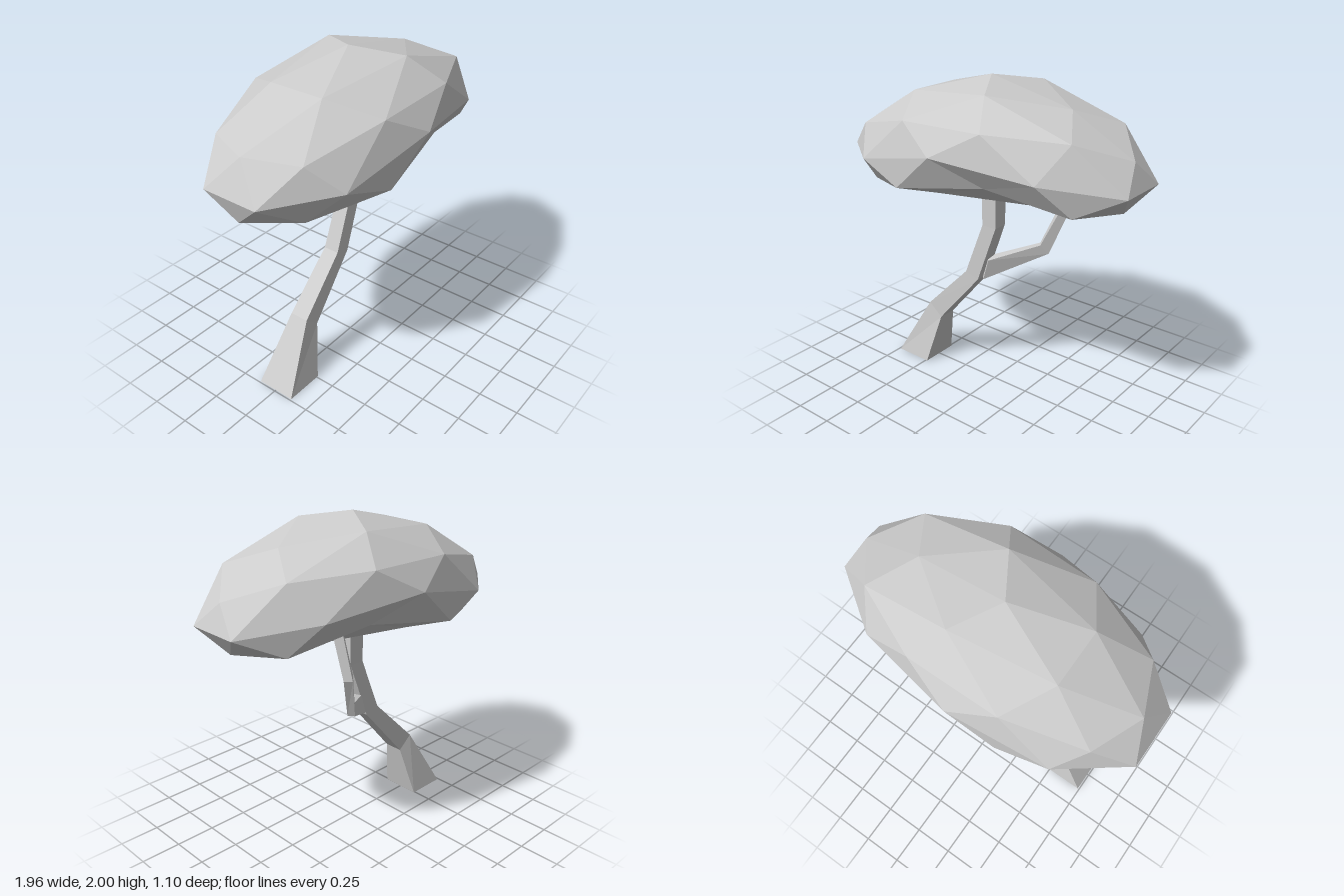
import * as THREE from 'three';

const material = new THREE.MeshStandardMaterial({ color: 0xcccccc, flatShading: true });

// Four-sided limb lofted through sections [centre, halfA, halfB]
function limb(name, sections) {
  const rings = sections.map(([c, a, b]) =>
    [[1, 1], [-1, 1], [-1, -1], [1, -1]].map(([s, t]) => c.map((v, k) => v + s * a[k] + t * b[k])));
  const pos = [];
  const quad = (p, q, r, s) => pos.push(...p, ...q, ...r, ...p, ...r, ...s);
  for (let i = 0; i < rings.length - 1; i++) {
    for (let j = 0; j < 4; j++) {
      const k = (j + 1) % 4;
      quad(rings[i][j], rings[i][k], rings[i + 1][k], rings[i + 1][j]);
    }
  }
  const end = rings[rings.length - 1];
  quad(...[...rings[0]].reverse());
  quad(...end);
  const geo = new THREE.BufferGeometry();
  geo.setAttribute('position', new THREE.Float32BufferAttribute(pos, 3));
  geo.computeVertexNormals();
  const mesh = new THREE.Mesh(geo, material);
  mesh.name = name;
  return mesh;
}

// Canopy rings: sphere height, depth scale, and final height per azimuth in degrees
const canopyRings = [
  [1, 1, { 0: 2.0 }],
  [0.851, 1, { 0: 1.88, 72: 1.95, 144: 1.88 }],
  [0.526, 1, { 36: 1.78, 108: 1.78, 180: 1.67 }],
  [0.447, 1, { 0: 1.67, 72: 1.80, 144: 1.66 }],
  [0, 1, { 18: 1.52, 54: 1.58, 90: 1.64, 126: 1.50, 162: 1.47 }],
  [-0.447, 1.07, { 36: 1.40, 108: 1.40, 180: 1.31 }],
  [-0.526, 0.94, { 0: 1.375, 72: 1.49, 144: 1.31 }],
  [-0.851, 1, { 36: 1.36, 108: 1.33, 180: 1.265 }],
  [-1, 1, { 0: 1.38 }],
];

// Faceted cap: an icosphere stretched along x, with its ends drooping
function canopy() {
  const geo = new THREE.IcosahedronGeometry(1, 1);
  geo.rotateZ(-Math.atan(2 / (1 + Math.sqrt(5)))); // a corner points straight up
  const p = geo.attributes.position;
  for (let i = 0; i < p.count; i++) {
    const x = p.getX(i), y = p.getY(i), z = p.getZ(i);
    const [, depth, heights] = canopyRings.reduce((m, r) =>
      Math.abs(r[0] - y) < Math.abs(m[0] - y) ? r : m);
    const azimuth = THREE.MathUtils.radToDeg(Math.atan2(Math.abs(z), x));
    const key = Object.keys(heights).reduce((m, k) =>
      Math.abs(k - azimuth) < Math.abs(m - azimuth) ? k : m);
    p.setXYZ(i, 1.03 * x - 0.02 * (1 - x * x), heights[key], 0.55 * depth * z * (1 - 0.06 * x));
  }
  geo.computeVertexNormals();
  const mesh = new THREE.Mesh(geo, material);
  mesh.name = 'canopy';
  return mesh;
}

export function createModel() {
  const tree = new THREE.Group();
  tree.name = 'tree';

  // Leaning trunk with a flared foot
  tree.add(limb('trunk', [
    [[-0.615, 0, 0], [-0.125, 0, 0], [0, 0, 0.125]],
    [[-0.455, 0.38, 0], [-0.048, 0.04, 0], [0, 0, 0.06]],
    [[-0.142, 0.725, 0], [-0.048, 0.015, 0], [0, 0, 0.05]],
    [[-0.008, 1.085, 0], [-0.05, 0, 0], [0, 0, 0.046]],
    [[-0.003, 1.42, 0], [-0.054, 0, 0], [0, 0, 0.053]],
  ]));

  // Side branch that bends back and up into the canopy
  tree.add(limb('branch', [
    [[-0.075, 0.78, 0], [0.02, 0.07, 0], [0.025, 0, 0.025]],
    [[0.215, 0.915, -0.225], [-0.018, 0.03, 0.02], [0.013, 0, 0.018]],
    [[0.298, 1.155, -0.288], [-0.018, 0.01, 0.018], [0.018, 0, 0.018]],
    [[0.31, 1.44, -0.21], [-0.02, 0, 0.02], [0.02, 0, 0.02]],
  ]));

  tree.add(canopy());
  return tree;
}
